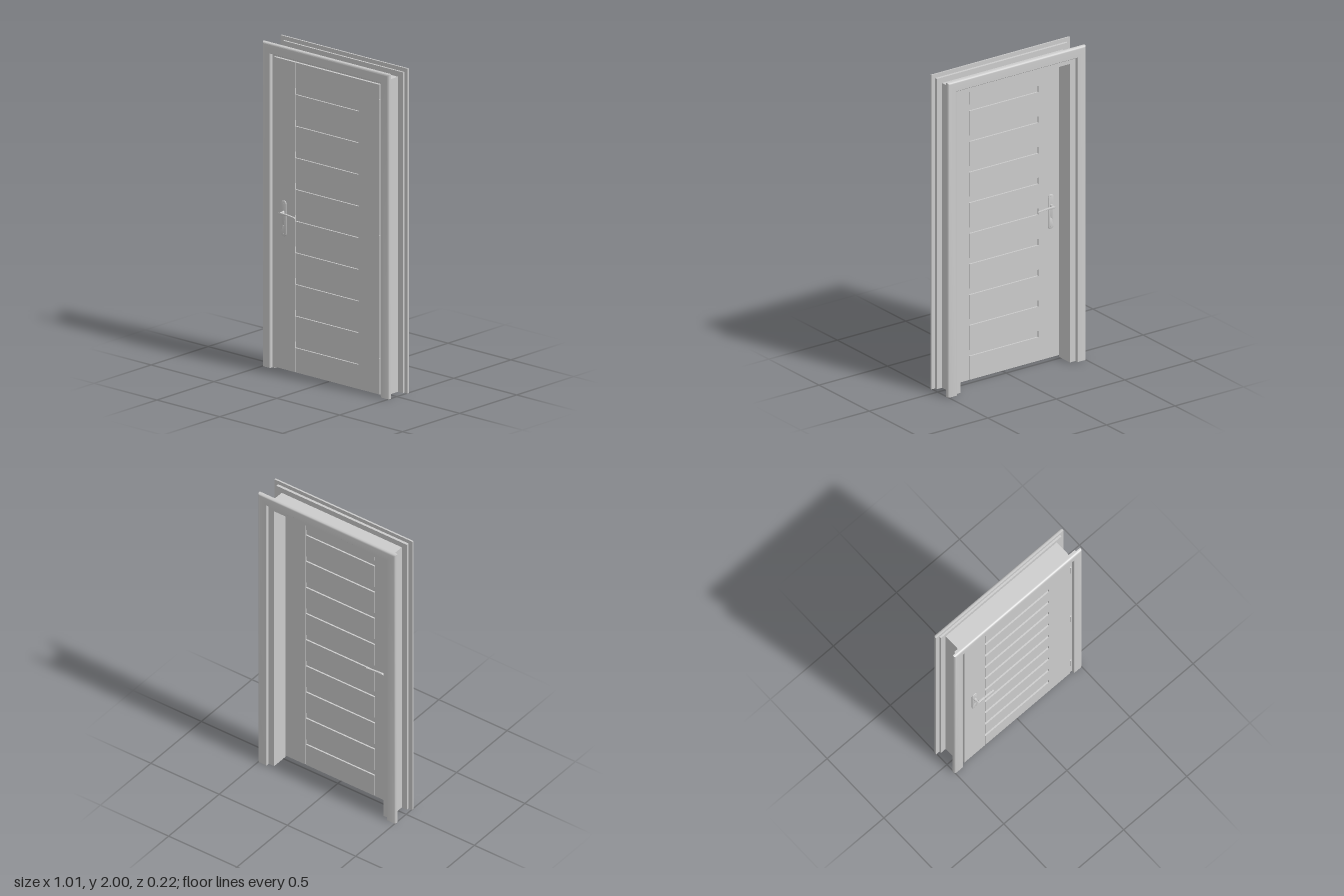
import * as THREE from 'three';
import { toCreasedNormals } from 'three/addons/utils/BufferGeometryUtils.js';

const material = new THREE.MeshStandardMaterial({ color: 0xcccccc });

function add(parent, name, geometry, x = 0, y = 0, z = 0) {
  const mesh = new THREE.Mesh(geometry, material);
  mesh.name = name;
  mesh.position.set(x, y, z);
  parent.add(mesh);
  return mesh;
}

// Box given by its limits on each axis
function block(parent, name, x0, x1, y0, y1, z0, z1) {
  return add(parent, name, new THREE.BoxGeometry(x1 - x0, y1 - y0, z1 - z0),
    (x0 + x1) / 2, (y0 + y1) / 2, (z0 + z1) / 2);
}

// Mitred three-sided surround: a counter-clockwise profile of [inset, z] points
// swept up the left leg, across the head and down the right leg
function surround(profile, halfWidth, height) {
  const stations = [
    d => [-halfWidth + d, 0],
    d => [-halfWidth + d, height - d],
    d => [halfWidth - d, height - d],
    d => [halfWidth - d, 0],
  ];
  const positions = [];
  const put = (s, i) => {
    const [d, z] = profile[i % profile.length];
    positions.push(...stations[s](d), z);
  };
  for (let s = 0; s < 3; s++) {
    for (let i = 0; i < profile.length; i++) {
      put(s, i); put(s + 1, i); put(s + 1, i + 1);
      put(s, i); put(s + 1, i + 1); put(s, i + 1);
    }
  }
  // Feet
  const points = profile.map(p => new THREE.Vector2(...p));
  for (const [a, b, c] of THREE.ShapeUtils.triangulateShape(points, [])) {
    put(0, a); put(0, b); put(0, c);
    put(3, a); put(3, c); put(3, b);
  }
  const geometry = new THREE.BufferGeometry();
  geometry.setAttribute('position', new THREE.Float32BufferAttribute(positions, 3));
  return toCreasedNormals(geometry, 0.6);
}

const rect = (d0, d1, z0, z1) => [[d0, z0], [d1, z0], [d1, z1], [d0, z1]];

// Casing strip with a rounded outer edge; sign picks the exposed side
function casingProfile(zWall, zFace) {
  const r = 0.014, w = 0.065, sign = Math.sign(zFace - zWall);
  const points = [[0, zWall], [w, zWall], [w, zFace - sign * 0.003], [w - 0.003, zFace]];
  for (let i = 0; i <= 5; i++) {
    const a = (i / 5) * Math.PI / 2;
    points.push([r - r * Math.sin(a), zFace - sign * r * (1 - Math.cos(a))]);
  }
  return sign > 0 ? points : points.reverse();
}

// Plate, lever and lock for one face, with the door surface at z = 0
function makeHandle() {
  const handle = new THREE.Group();
  const r = 0.02, low = 0.85, high = 1.03;
  const plate = new THREE.Shape();
  plate.absarc(0, high, r, 0, Math.PI, false);
  plate.absarc(0, low, r, Math.PI, Math.PI * 2, false);
  plate.closePath();
  const keyhole = new THREE.Path();
  keyhole.absarc(0, 0.9, 0.004, 0, Math.PI * 2, true);
  plate.holes.push(keyhole);
  add(handle, 'handlePlate', toCreasedNormals(new THREE.ExtrudeGeometry(plate, {
    depth: 0.004, bevelThickness: 0.002, bevelSize: 0.002, bevelOffset: -0.002,
    bevelSegments: 2, curveSegments: 12,
  }), 0.6));

  const cylinder = (name, radius0, radius1, y, z0, z1) => {
    const geometry = new THREE.CylinderGeometry(radius1, radius0, z1 - z0, 20);
    add(handle, name, geometry.rotateX(Math.PI / 2), 0, y, (z0 + z1) / 2);
  };
  cylinder('handleCollar', 0.01, 0.009, 0.978, 0.004, 0.02);
  cylinder('handleStem', 0.006, 0.006, 0.978, 0.018, 0.036);
  cylinder('lockCylinder', 0.003, 0.003, 0.9, 0.001, 0.005);
  for (const y of [0.845, 1.035]) cylinder('plateScrew', 0.004, 0.003, y, 0.005, 0.0075);

  // Lever, thick at the stem and tapering to the tip
  const lever = new THREE.Shape();
  lever.moveTo(-0.008, 0.978);
  lever.quadraticCurveTo(-0.004, 0.987, 0.012, 0.986);
  lever.bezierCurveTo(0.05, 0.984, 0.08, 0.982, 0.12, 0.976);
  lever.lineTo(0.12, 0.97);
  lever.bezierCurveTo(0.08, 0.976, 0.05, 0.975, 0.012, 0.97);
  lever.quadraticCurveTo(-0.004, 0.969, -0.008, 0.978);
  add(handle, 'handleLever', toCreasedNormals(new THREE.ExtrudeGeometry(lever, {
    depth: 0.008, bevelThickness: 0.002, bevelSize: 0.002, bevelOffset: -0.002,
    bevelSegments: 2, curveSegments: 10,
  }), 0.6), 0, 0, 0.034);
  return handle;
}

export function createModel() {
  const model = new THREE.Group();
  model.name = 'door';

  // Fixed frame: rebated jamb, tongues behind the casings, casings on both faces
  const frame = new THREE.Group();
  frame.name = 'doorFrame';
  model.add(frame);
  const jamb = [[0, -0.09], [0.04, -0.09], [0.04, 0.02], [0.018, 0.02], [0.018, 0.055], [0, 0.055]];
  add(frame, 'jamb', surround(jamb, 0.44, 1.94));
  add(frame, 'frontTongue', surround(rect(0, 0.04, 0.038, 0.055), 0.478, 1.975));
  add(frame, 'backTongue', surround(rect(0, 0.04, -0.09, -0.078), 0.478, 1.975));
  add(frame, 'frontCasing', surround(casingProfile(0.055, 0.075), 0.505, 2));
  add(frame, 'backCasing', surround(casingProfile(-0.09, -0.112), 0.505, 2));

  // Leaf: two stiles, rails between nine recessed strips, and a core panel
  const leaf = new THREE.Group();
  leaf.name = 'doorLeaf';
  model.add(leaf);
  const bottom = 0.01, top = 1.918, back = 0.022, front = 0.062;
  block(leaf, 'rightStile', -0.418, -0.254, bottom, top, back, front);
  block(leaf, 'leftStile', 0.254, 0.418, bottom, top, back, front);
  block(leaf, 'corePanel', -0.255, 0.255, bottom + 0.002, top - 0.002, back + 0.01, front - 0.01);
  let railBottom = bottom;
  for (let i = 0; i < 9; i++) {
    const slot = 0.16 + i * 0.195;
    block(leaf, 'rail', -0.251, 0.251, railBottom, slot, back, front);
    railBottom = slot + 0.04;
  }
  block(leaf, 'topRail', -0.251, 0.251, railBottom, top, back, front);

  // Handles on both faces
  for (const side of [1, -1]) {
    const handle = makeHandle();
    handle.name = side > 0 ? 'frontHandle' : 'backHandle';
    handle.position.set(-0.34, 0, side > 0 ? front : back);
    if (side < 0) handle.scale.z = -1;
    leaf.add(handle);
  }

  // Hinges
  for (const y of [0.19, 0.945, 1.785]) {
    add(model, 'hinge', new THREE.CylinderGeometry(0.005, 0.005, 0.09, 16), 0.422, y, 0.064);
  }
  return model;
}
